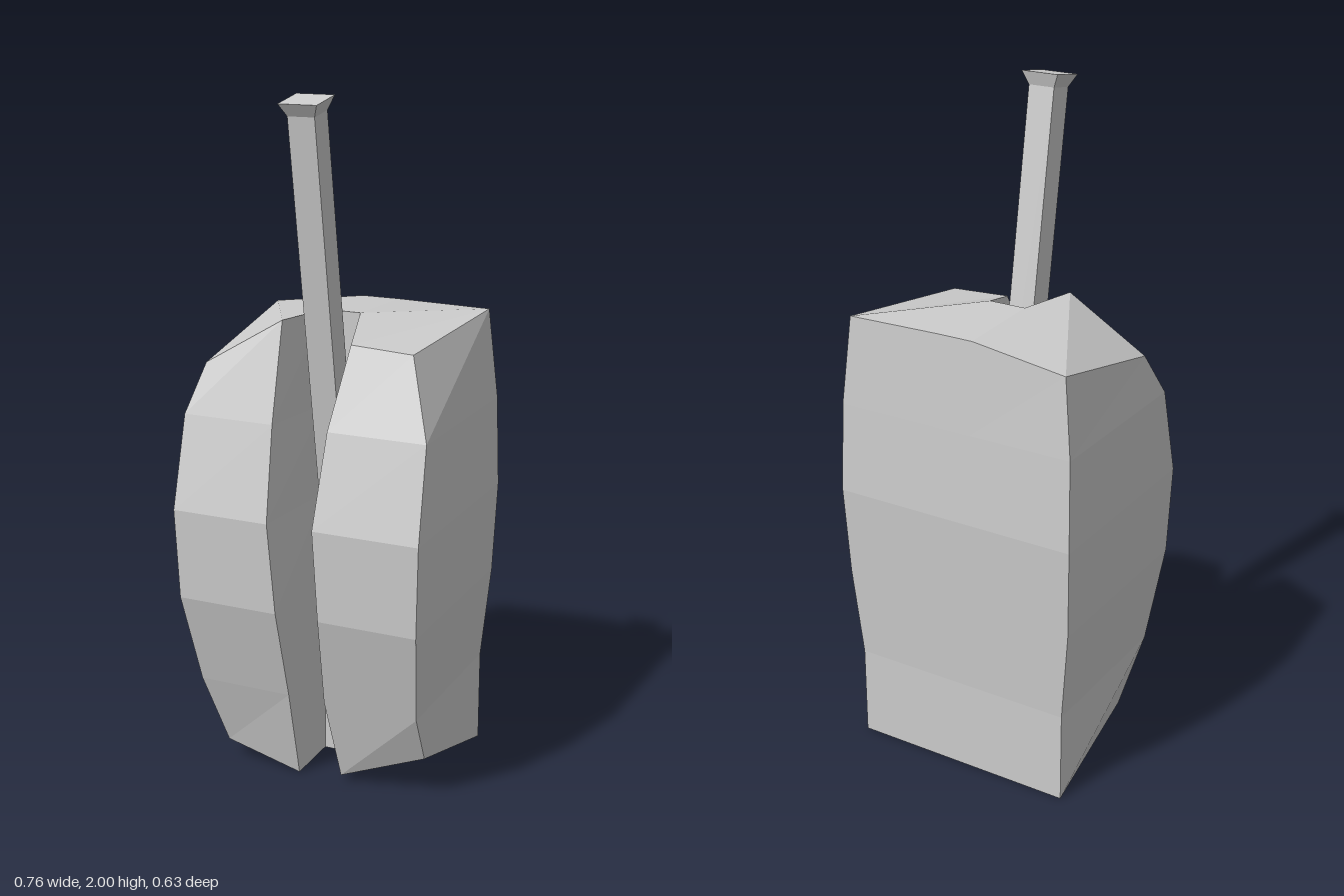
import * as THREE from 'three';

// One row per level: height, back z, front z, outer half width, inner lip x (left, right)
const LEVELS = [
  { y: 0.00, back: -0.285, front: 0.165, w: 0.345, lipL: 0.08, lipR: -0.057 },
  { y: 0.28, back: -0.285, front: 0.232, w: 0.345, lipL: 0.057, lipR: -0.057 },
  { y: 0.56, back: -0.30, front: 0.305, w: 0.37, lipL: 0.072, lipR: -0.061 },
  { y: 0.83, back: -0.315, front: 0.315, w: 0.378, lipL: 0.06, lipR: -0.08 },
  { y: 1.10, back: -0.305, front: 0.25, w: 0.371, lipL: 0.077, lipR: -0.092 },
  { y: 1.375, back: -0.288, front: 0.165, w: 0.345, lipL: 0.11, lipR: -0.10 },
];
const SLOT_X = 0.057, SLOT_Z = -0.015;

// Corners of a level, counter-clockwise from above, starting at the back left corner
function ring({ y, back, front, w, lipL, lipR }) {
  return [
    [w, y, back], [SLOT_X, y, back], [-SLOT_X, y, back], [-w, y, back],
    [-w, y, front], [lipR, y, front], [-SLOT_X, y, SLOT_Z],
    [SLOT_X, y, SLOT_Z], [lipL, y, front], [w, y, front],
  ];
}

function bodyGeometry() {
  const rings = LEVELS.map(ring);
  const bottom = rings[0], top = rings[rings.length - 1];

  // Uneven heights and chipped corners of the two end caps
  const topY = [1.365, 1.37, 1.37, 1.33, 1.235, 1.38, 1.38, 1.38, 1.33, 1.32];
  topY.forEach((y, i) => { top[i][1] = y; });
  top[9][0] = 0.295;
  bottom[4][0] = -0.295;
  bottom[4][1] = 0.06;
  bottom[8][1] = 0.02;
  bottom[9][1] = 0.13;

  const pos = [];
  const tri = (a, b, c) => pos.push(...a, ...b, ...c);

  // Walls
  for (let k = 0; k < rings.length - 1; k++) {
    const lo = rings[k], hi = rings[k + 1];
    for (let i = 0; i < lo.length; i++) {
      const j = (i + 1) % lo.length;
      tri(lo[i], lo[j], hi[j]);
      tri(lo[i], hi[j], hi[i]);
    }
  }
  // Caps: each lobe fans out from its back corner, with a strip between
  const cap = [[3, 4, 5], [3, 5, 6], [3, 6, 2], [2, 6, 7], [2, 7, 1], [0, 1, 7], [0, 7, 8], [0, 8, 9]];
  for (const [a, b, c] of cap) {
    tri(top[a], top[b], top[c]);
    tri(bottom[a], bottom[c], bottom[b]);
  }

  const geo = new THREE.BufferGeometry();
  geo.setAttribute('position', new THREE.Float32BufferAttribute(pos, 3));
  geo.computeVertexNormals();
  return geo;
}

export function createModel() {
  const model = new THREE.Group();
  model.name = 'slottedBlockWithHandle';
  const material = new THREE.MeshStandardMaterial({ color: 0xcccccc, flatShading: true });
  const add = (parent, name, geometry) => {
    const mesh = new THREE.Mesh(geometry, material);
    mesh.name = name;
    parent.add(mesh);
    return mesh;
  };

  add(model, 'body', bodyGeometry());

  // Tilted handle rising out of the slot
  const handle = new THREE.Group();
  handle.name = 'handle';
  handle.position.set(0, 0.656, -0.0145);
  handle.rotation.x = 0.1665;
  model.add(handle);

  const shaftLength = 1.316, capLength = 0.037;
  add(handle, 'shaft', new THREE.BoxGeometry(0.08, shaftLength, 0.08)).position.y = shaftLength / 2;

  // Flared square end of the handle
  const flare = new THREE.CylinderGeometry(0.057 * Math.SQRT2, 0.04 * Math.SQRT2, capLength, 4);
  flare.rotateY(Math.PI / 4);
  add(handle, 'handleEnd', flare).position.y = shaftLength + capLength / 2;

  return model;
}
